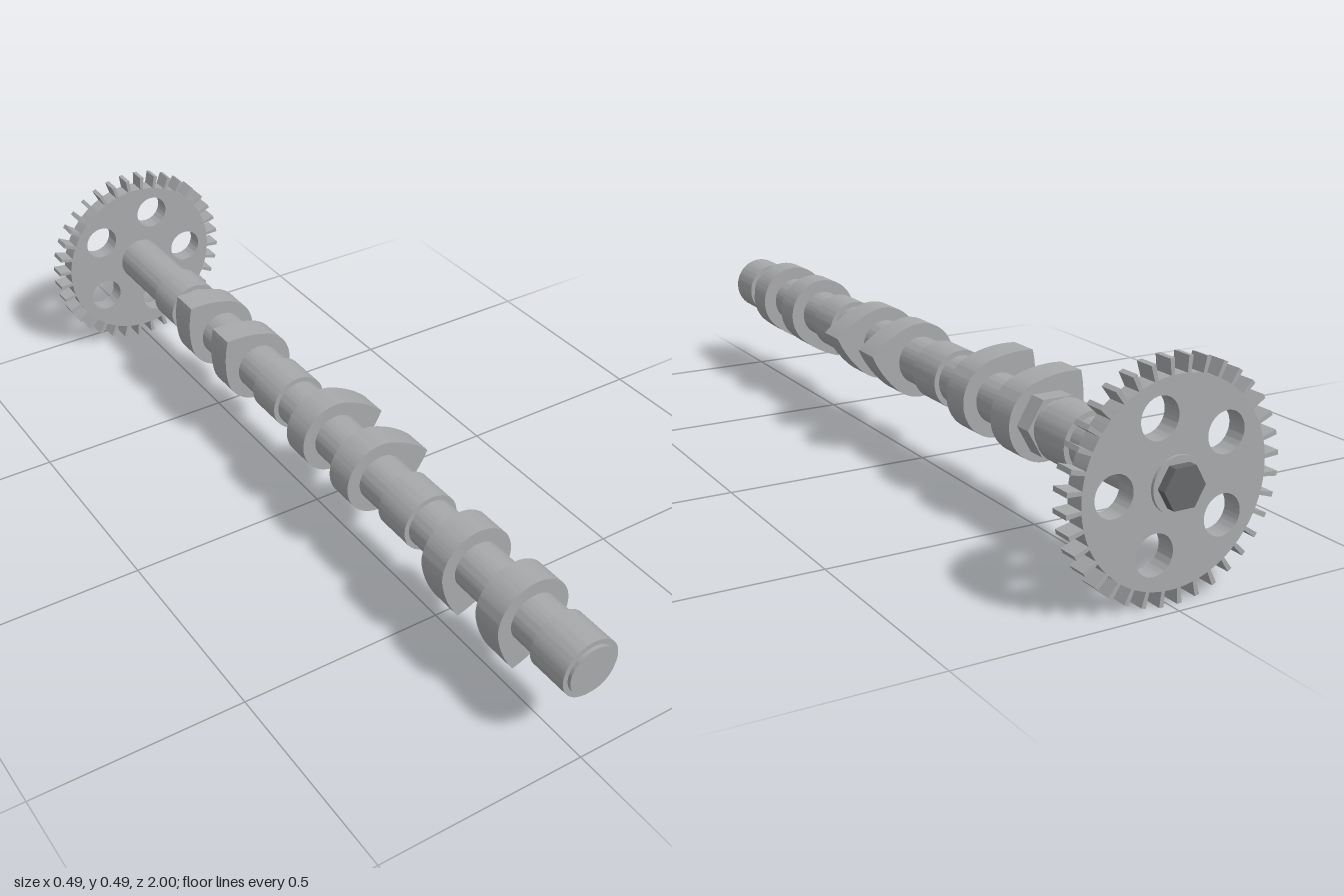
import * as THREE from 'three';
import { toCreasedNormals } from 'three/addons/utils/BufferGeometryUtils.js';

const AXIS_Y = 0.2455;

export function createModel() {
  const model = new THREE.Group();
  model.name = 'camshaft';
  const axle = new THREE.Group();
  axle.name = 'rotatingAssembly';
  axle.position.y = AXIS_Y;
  model.add(axle);

  const steel = new THREE.MeshStandardMaterial({ color: 0xa8a9ab });
  steel.name = 'steel';
  const darkSteel = new THREE.MeshStandardMaterial({ color: 0x66686b });
  darkSteel.name = 'dark steel';

  const add = (name, geometry, material = steel) => {
    const mesh = new THREE.Mesh(toCreasedNormals(geometry, 0.5), material);
    mesh.name = name;
    axle.add(mesh);
    return mesh;
  };

  // Round or hexagonal bar lying along z between two stations
  const bar = (name, radius, z0, z1, sides = 64, material = steel) => {
    const g = new THREE.CylinderGeometry(radius, radius, z1 - z0, sides);
    g.rotateY(Math.PI / 6).rotateX(Math.PI / 2).translate(0, 0, (z0 + z1) / 2);
    return add(name, g, material);
  };

  // Flat outline extruded along z
  const plate = (name, shape, z0, z1) => {
    const g = new THREE.ExtrudeGeometry(shape, { depth: z1 - z0, bevelEnabled: false, curveSegments: 40 });
    return add(name, g.translate(0, 0, z0));
  };

  // Main shaft and bearing journals
  bar('shaft', 0.058, -0.98, 1);
  for (const z of [0.942, 0.413, -0.134, -0.656]) bar('bearingJournal', 0.07, z - 0.05, z + 0.05);

  // Hexagonal wrench collar and end bolt
  bar('hexCollar', 0.072, -0.579, -0.53, 6);
  bar('endBolt', 0.048, -1, -0.975, 6, darkSteel);

  // Cam outline: base circle with two convex flanks meeting at a pointed nose
  const base = 0.091, nose = 0.132, spread = Math.PI / 3;
  const c = Math.cos(spread), s = Math.sin(spread);
  const flank = (nose * nose - 2 * nose * base * c + base * base) / (2 * (base - nose * c));
  const cx = (base - flank) * c, cy = (base - flank) * s;
  const noseAngle = Math.atan2(-cy, nose - cx);
  const camShape = new THREE.Shape();
  camShape.moveTo(nose, 0);
  camShape.absarc(cx, cy, flank, noseAngle, spread, false);
  camShape.absarc(0, 0, base, spread, 2 * Math.PI - spread, false);
  camShape.absarc(cx, -cy, flank, -spread, -noseAngle, false);

  // Three pairs of cams, 120 degrees apart
  const camPairs = [[0.78, 0.592, 251], [0.233, 0.046, 11], [-0.312, -0.499, 131]];
  for (const [zA, zB, degrees] of camPairs) {
    for (const z of [zA, zB]) {
      plate('cam', camShape, z - 0.037, z + 0.037).rotation.z = THREE.MathUtils.degToRad(degrees);
    }
  }

  // Timing gear with thin, slightly flared teeth
  const teeth = 36, root = 0.213, tip = 0.246, step = (2 * Math.PI) / teeth;
  const gear = new THREE.Shape();
  const polar = (r, a) => new THREE.Vector2(r * Math.cos(a), r * Math.sin(a));
  const outline = [];
  for (let i = 0; i < teeth; i++) {
    const a = (i + 0.5) * step;
    const inner = 0.004 / root, outer = 0.0052 / tip;
    outline.push(polar(root, a - inner), polar(tip, a - outer), polar(tip, a + outer), polar(root, a + inner));
    for (const t of [0.25, 0.5, 0.75]) outline.push(polar(root, a + inner + t * (step - 2 * inner)));
  }
  gear.setFromPoints(outline);

  // Five lightening holes
  for (let i = 0; i < 5; i++) {
    const p = polar(0.141, (i * 2 * Math.PI) / 5);
    const hole = new THREE.Path();
    hole.absarc(p.x, p.y, 0.0435, 0, 2 * Math.PI, true);
    gear.holes.push(hole);
  }
  plate('timingGear', gear, -0.973, -0.929);

  return model;
}
